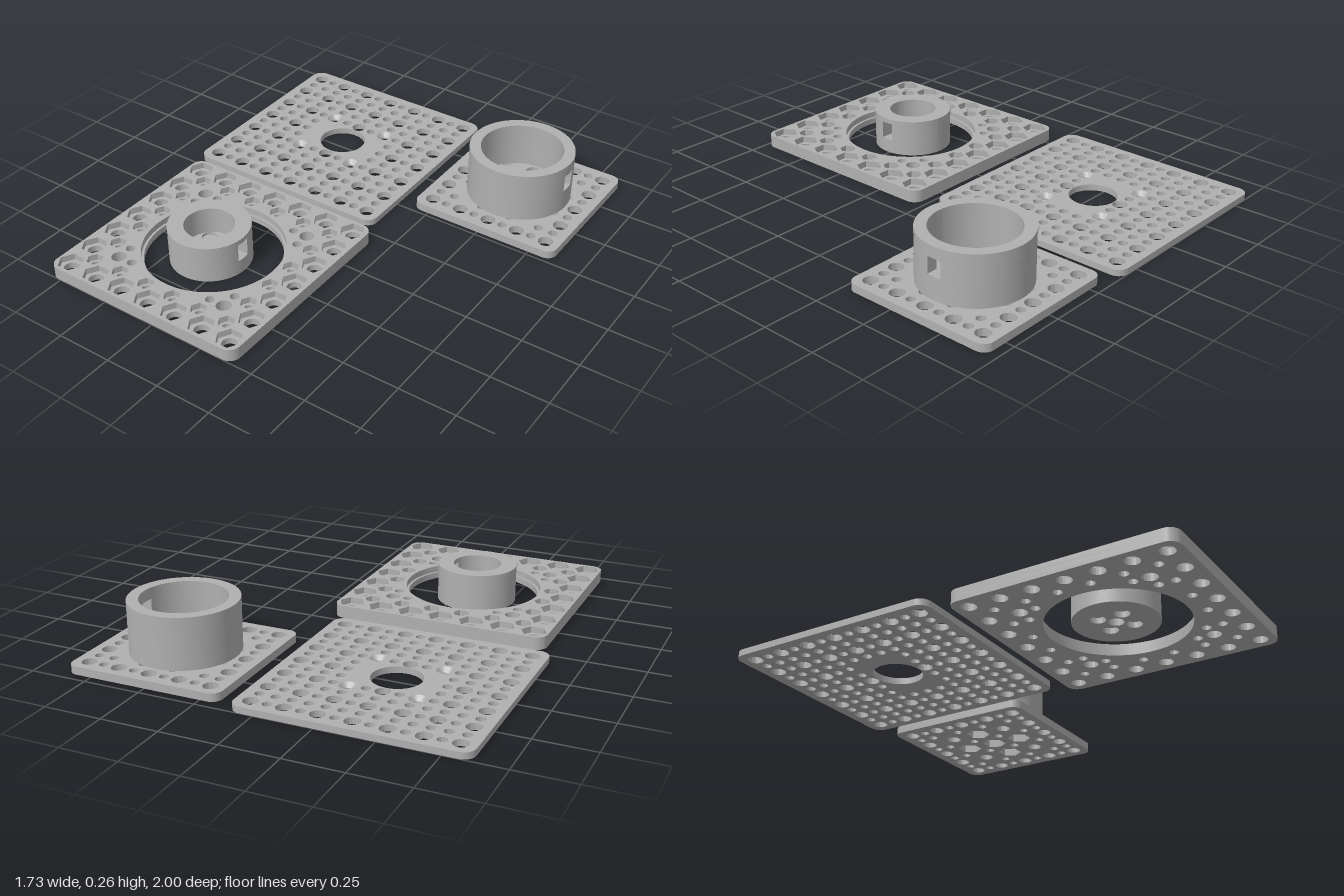
import * as THREE from 'three';
import { toCreasedNormals } from 'three/addons/utils/BufferGeometryUtils.js';

const PITCH = 0.07, BIG = 0.032, SMALL = 0.02;
const grey = new THREE.MeshStandardMaterial({ color: 0xb0b0b0 });
grey.name = 'plain grey';

// ---- outline helpers ----
const circle = (x, y, r) => new THREE.Path().absarc(x, y, r, 0, Math.PI * 2, false);

function hexagon(x, y, r) {
  const pts = [];
  for (let k = 0; k < 6; k++) {
    const a = k * Math.PI / 3;
    pts.push(new THREE.Vector2(x + r * Math.cos(a), y + r * Math.sin(a)));
  }
  return new THREE.Path(pts);
}

function roundedSquare(size, r) {
  const h = size / 2, c = h - r, s = new THREE.Shape();
  s.absarc(c, c, r, 0, Math.PI / 2, false);
  s.absarc(-c, c, r, Math.PI / 2, Math.PI, false);
  s.absarc(-c, -c, r, Math.PI, Math.PI * 1.5, false);
  s.absarc(c, -c, r, Math.PI * 1.5, Math.PI * 2, false);
  s.closePath();
  return s;
}

function disc(r) {
  const s = new THREE.Shape();
  s.absarc(0, 0, r, 0, Math.PI * 2, false);
  return s;
}

// Upright slab between two heights, with holes
function slab(group, name, shape, holes, y0, y1, segments = 24) {
  shape.holes = holes;
  let g = new THREE.ExtrudeGeometry(shape, { depth: y1 - y0, bevelEnabled: false, curveSegments: segments });
  g.rotateX(-Math.PI / 2);
  g.translate(0, y0, 0);
  g = toCreasedNormals(g, 0.6);
  const m = new THREE.Mesh(g, grey);
  m.name = name;
  group.add(m);
}

// Holes on the square grid; pick(i, j) returns a path or nothing
function gridHoles(n, pick) {
  const holes = [];
  for (let i = -n; i <= n; i++)
    for (let j = -n; j <= n; j++) {
      const p = pick(i, j, i * PITCH, j * PITCH);
      if (p) holes.push(p);
    }
  return holes;
}

// Tube wall with a rectangular slot facing +x
function slottedWall(group, name, ro, ri, y0, s0, s1, y1, halfSlot) {
  slab(group, name + 'Lower', disc(ro), [circle(0, 0, ri)], y0, s0, 64);
  const a = Math.asin(halfSlot / ro), b = Math.asin(halfSlot / ri);
  const c = new THREE.Shape();
  c.absarc(0, 0, ro, a, Math.PI * 2 - a, false);
  c.absarc(0, 0, ri, Math.PI * 2 - b, b, true);
  c.closePath();
  slab(group, name + 'Slotted', c, [], s0, s1, 64);
  slab(group, name + 'Upper', disc(ro), [circle(0, 0, ri)], s1, y1, 64);
}

const even = (v) => v % 2 === 0;

// Thin plate with dense holes, a centre opening and four countersunk screw holes
function perforatedPlate() {
  const g = new THREE.Group();
  g.name = 'perforatedPlate';
  const top = 0.028, screw = 0.145;
  const holes = gridHoles(6, (i, j, x, y) => {
    const ai = Math.abs(i), aj = Math.abs(j);
    if (ai <= 2 && aj <= 2 && !(aj === 2 && ai <= 1)) return null;
    return circle(x, y, even(i) && even(j) ? BIG : SMALL);
  });
  holes.push(circle(0, 0, 0.106));
  for (const sx of [-1, 1])
    for (const sz of [-1, 1]) {
      holes.push(circle(sx * screw, sz * screw, 0.036));
      const profile = [[0.018, 0], [0.036, 0], [0.036, top], [0.018, 0.008], [0.018, 0]]
        .map(([r, y]) => new THREE.Vector2(r, y));
      const seat = new THREE.Mesh(toCreasedNormals(new THREE.LatheGeometry(profile, 24).toNonIndexed(), 0.5), grey);
      seat.name = 'screwSeat';
      seat.position.set(sx * screw, 0, sz * screw);
      g.add(seat);
    }
  slab(g, 'plate', roundedSquare(0.968, 0.05), holes, 0, top);
  return g;
}

// Thick plate with hexagonal nut pockets around a large opening
function nutPlate() {
  const g = new THREE.Group();
  g.name = 'nutPlate';
  const holesWith = (pocket) => gridHoles(6, (i, j, x, y) => {
    const ai = Math.abs(i), aj = Math.abs(j), ring = Math.max(ai, aj);
    if (ring === 6 && even(i) && even(j)) return pocket ? hexagon(x, y, 0.056) : circle(x, y, BIG);
    if (ring === 5 && !even(i) && !even(j)) return pocket ? hexagon(x, y, 0.036) : circle(x, y, SMALL);
    if (ai === 4 && aj === 4) return circle(x, y, BIG);
    if (ring === 4 && Math.min(ai, aj) === 3) return circle(x, y, SMALL);
    return null;
  });
  slab(g, 'plateBase', roundedSquare(0.968, 0.05), [...holesWith(false), circle(0, 0, 0.295)], 0, 0.028, 40);
  slab(g, 'pocketLayer', roundedSquare(0.968, 0.05), [...holesWith(true), circle(0, 0, 0.306)], 0.028, 0.056, 40);
  return g;
}

// Loose hub with a slotted wall and a floor with four blind recesses on each face
function hub() {
  const g = new THREE.Group();
  g.name = 'hub';
  const ro = 0.177, ri = 0.108;
  const recesses = () => {
    const list = [circle(0, 0, BIG)];
    for (const sx of [-1, 1]) for (const sz of [-1, 1]) list.push(circle(sx * 0.053, sz * 0.053, 0.032));
    return list;
  };
  slab(g, 'floorBottom', disc(ro), recesses(), 0, 0.025, 48);
  slab(g, 'floorMiddle', disc(ro), [circle(0, 0, BIG)], 0.025, 0.032, 48);
  slab(g, 'floorTop', disc(ro), recesses(), 0.032, 0.045, 48);
  slottedWall(g, 'wall', ro, ri, 0.045, 0.065, 0.145, 0.167, 0.03);
  return g;
}

// Small plate carrying a tall slotted cup
function cupPlate() {
  const g = new THREE.Group();
  g.name = 'cupPlate';
  const plateHoles = gridHoles(4, (i, j, x, y) => {
    const ring = Math.max(Math.abs(i), Math.abs(j));
    if (even(i) && even(j)) return Math.abs(i) + Math.abs(j) <= 2 ? hexagon(x, y, 0.054) : circle(x, y, BIG);
    if (ring === 4 || (!even(i) && !even(j))) return circle(x, y, SMALL);
    return null;
  });
  const floorHoles = gridHoles(2, (i, j, x, y) => {
    if (even(i) && even(j)) return circle(x, y, BIG);
    return !even(i) && !even(j) ? circle(x, y, SMALL) : null;
  });
  slab(g, 'plate', roundedSquare(0.69, 0.045), plateHoles, 0, 0.035);
  slab(g, 'cupFloor', disc(0.2325), floorHoles, 0.035, 0.058, 64);
  slottedWall(g, 'cupWall', 0.2325, 0.183, 0.058, 0.135, 0.21, 0.26, 0.0325);
  return g;
}

export function createModel() {
  const model = new THREE.Group();
  model.name = 'mountingPlateSet';
  const place = (part, x, z) => { part.position.set(x, 0, z); model.add(part); };
  place(perforatedPlate(), -0.38, -0.516);
  place(nutPlate(), -0.325, 0.515);
  place(hub(), -0.342, 0.515);
  place(cupPlate(), 0.517, -0.615);
  return model;
}
